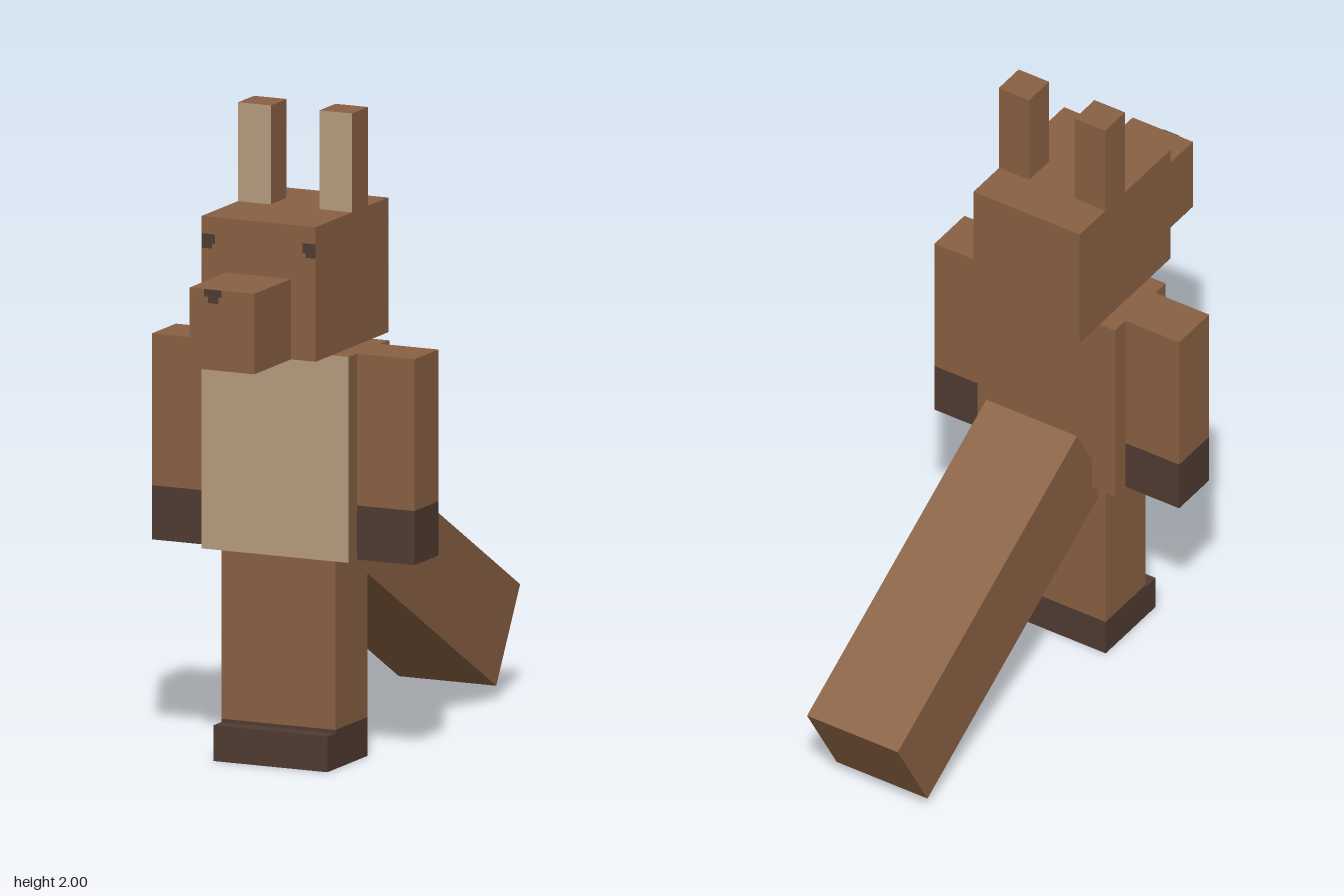
import * as THREE from 'three';

function paint(name, color) {
  const m = new THREE.MeshStandardMaterial({ color });
  m.name = name;
  return m;
}

export function createModel() {
  const fur = paint('brown fur', 0x8a6143);
  const pale = paint('pale fur', 0xb79c7e);
  const dark = paint('dark fur', 0x4f3b30);
  const paleFront = [fur, fur, fur, fur, pale, fur];
  const model = new THREE.Group();
  model.name = 'blockAnimal';

  // Box spanning the given [min, max] ranges
  function block(name, material, [x0, x1], [y0, y1], [z0, z1], parent = model) {
    const mesh = new THREE.Mesh(new THREE.BoxGeometry(x1 - x0, y1 - y0, z1 - z0), material);
    mesh.position.set((x0 + x1) / 2, (y0 + y1) / 2, (z0 + z1) / 2);
    mesh.name = name;
    parent.add(mesh);
    return mesh;
  }

  // Legs and feet
  const stance = [-0.193, 0.191];
  block('feet', dark, stance, [0, 0.11], [0.248, 0.523]);
  block('ankles', dark, stance, [0.11, 0.12], [0.248, 0.467]);
  block('legs', fur, stance, [0.12, 0.645], [0.248, 0.467]);

  // Torso with pale belly
  block('torso', paleFront, [-0.248, 0.248], [0.645, 1.28], [0.215, 0.493]);

  // Head and muzzle
  block('head', fur, [-0.193, 0.191], [1.28, 1.695], [0.105, 0.603]);
  block('muzzle', fur, [-0.11, 0.108], [1.28, 1.528], [0.603, 0.854]);

  for (const [side, s] of [['left', 1], ['right', -1]]) {
    const span = (a, b) => (s > 0 ? [a, b] : [-b, -a]);

    // Arms with dark paws
    const arm = new THREE.Group();
    arm.name = side + 'Arm';
    model.add(arm);
    block(side + 'UpperArm', fur, span(0.248, 0.442), [0.812, 1.28], [0.273, 0.437], arm);
    block(side + 'Paw', dark, span(0.248, 0.442), [0.645, 0.812], [0.273, 0.437], arm);

    // Ears with pale fronts
    block(side + 'Ear', paleFront, span(0.082, 0.192), [1.695, 2], [0.246, 0.355]);

    // Eyes with a clipped inner corner
    const eye = new THREE.Group();
    eye.name = side + 'Eye';
    model.add(eye);
    block(side + 'EyeTop', dark, span(0.147, 0.191), [1.612, 1.642], [0.602, 0.605], eye);
    block(side + 'EyeBottom', dark, span(0.158, 0.191), [1.598, 1.612], [0.602, 0.605], eye);
  }

  // Nose
  block('noseTop', dark, [-0.06, -0.002], [1.506, 1.528], [0.853, 0.856]);
  block('noseBottom', dark, [-0.047, -0.012], [1.486, 1.506], [0.853, 0.856]);

  // Tail sloping down to the back
  const tail = block('tail', fur, [-0.165, 0.163], [0.304, 0.631], [-0.847, 0.291]);
  tail.rotation.x = -Math.PI / 6;

  return model;
}
